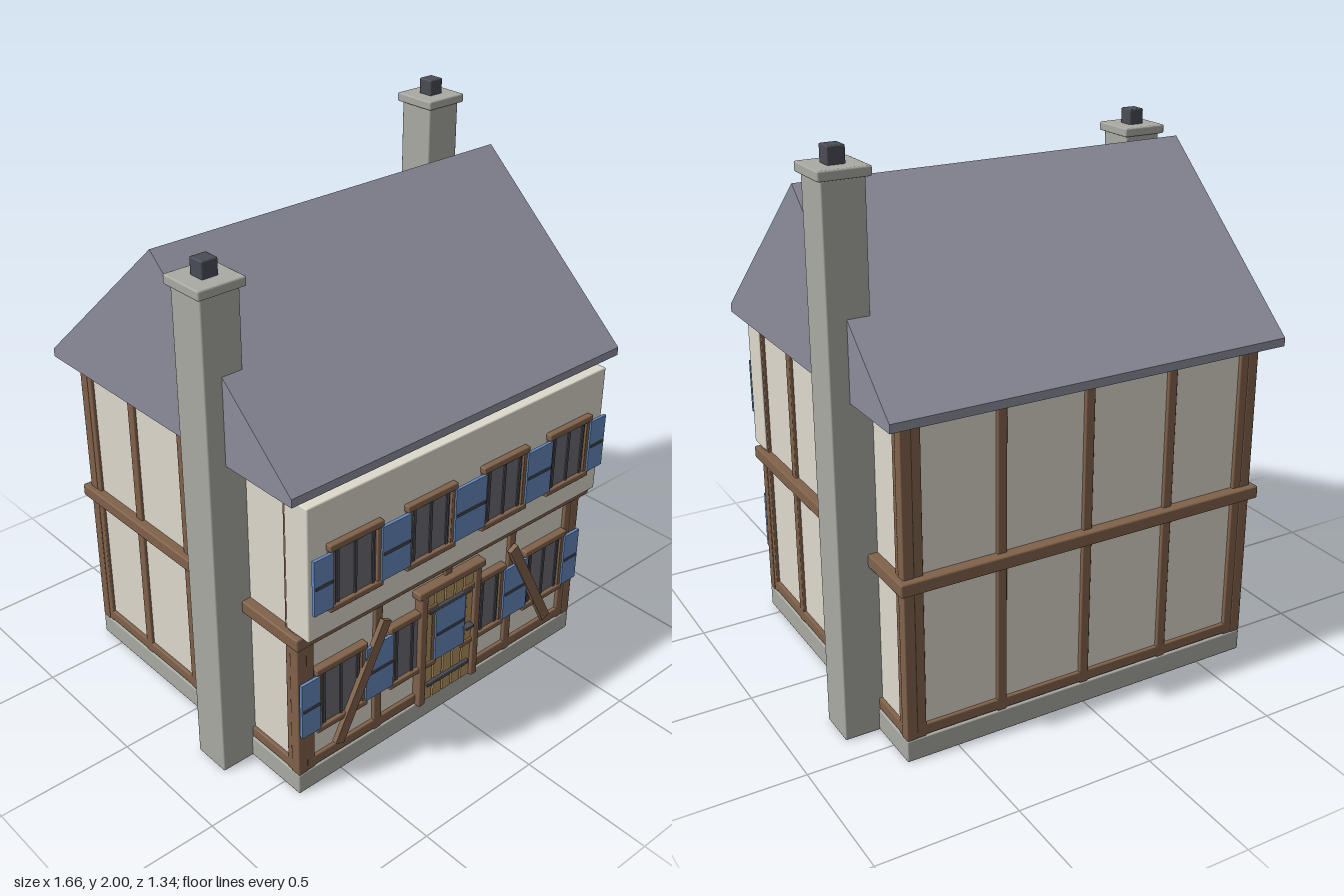
import * as THREE from 'three';
import { RoundedBoxGeometry } from 'three/addons/geometries/RoundedBoxGeometry.js';

const mat = (color) => new THREE.MeshStandardMaterial({ color });
const M = {
  plaster: mat(0xded9cc), timber: mat(0x80624a), stone: mat(0xa9aaa3), roof: mat(0x8c8d9b),
  glass: mat(0x6c6c74), shutter: mat(0x6488bd), plank: mat(0xb0905f), iron: mat(0x4a4c55),
};

// Box given by its limits on each axis; bevel > 0 softens the edges
function box(parent, name, material, [x0, x1], [y0, y1], [z0, z1], bevel = 0) {
  const s = [x1 - x0, y1 - y0, z1 - z0];
  const geo = bevel ? new RoundedBoxGeometry(...s, 1, bevel) : new THREE.BoxGeometry(...s);
  const mesh = new THREE.Mesh(geo, material);
  mesh.name = name;
  mesh.position.set((x0 + x1) / 2, (y0 + y1) / 2, (z0 + z1) / 2);
  parent.add(mesh);
  return mesh;
}
const around = (c, w) => [c - w / 2, c + w / 2];

function group(parent, name) {
  const g = new THREE.Group();
  g.name = name;
  parent.add(g);
  return g;
}

// Shuttered window; z is the wall face behind it
function addWindow(parent, x, y0, y1, z) {
  const g = group(parent, 'window');
  box(g, 'windowPane', M.glass, around(x, 0.19), [y0, y1], [z - 0.01, z + 0.008]);
  for (const s of [-1, 1]) {
    box(g, 'windowJamb', M.timber, around(x + s * 0.098, 0.02), [y0, y1], [z - 0.01, z + 0.018], 0.003);
    box(g, 'shutter', M.shutter, around(x + s * 0.142, 0.08), [y0, y1], [z + 0.013, z + 0.025]);
    box(g, 'shutterBar', M.iron, around(x + s * 0.142, 0.07), around((y0 + y1) / 2, 0.01), [z + 0.02, z + 0.029]);
  }
  for (const dx of [-0.075, 0, 0.075])
    box(g, 'mullion', M.iron, around(x + dx, 0.01), [y0, y1], [z, z + 0.013]);
  box(g, 'windowLintel', M.timber, around(x, 0.225), [y1, y1 + 0.025], [z - 0.01, z + 0.022], 0.004);
  box(g, 'windowSill', M.timber, around(x, 0.225), [y0 - 0.022, y0], [z - 0.01, z + 0.022], 0.004);
}

function addChimney(parent, x, z, top) {
  const g = group(parent, 'chimney');
  box(g, 'chimneyShaft', M.stone, around(x, 0.145), [0, top], around(z, 0.145), 0.005);
  box(g, 'chimneyCap', M.stone, around(x, 0.175), [top, top + 0.033], around(z, 0.175), 0.006);
  box(g, 'chimneyPot', M.iron, around(x, 0.06), [top + 0.03, top + 0.09], around(z, 0.06), 0.005);
}

export function createModel() {
  const house = new THREE.Group();
  house.name = 'house';
  const zc = -0.015;

  // Plinth, walls and jettied upper front
  box(house, 'plinth', M.stone, [-0.69, 0.69], [0, 0.08], [-0.61, 0.58], 0.005);
  box(house, 'walls', M.plaster, [-0.675, 0.675], [0.07, 1.22], [-0.595, 0.565]);
  box(house, 'upperFront', M.plaster, [-0.692, 0.692], [0.68, 1.18], [0.53, 0.64], 0.005);

  // Timber frame
  const frame = group(house, 'timberFrame');
  for (const s of [-1, 1]) {
    const faceZ = zc + s * 0.578, faceX = s * 0.672;
    for (const x of [-0.635, -0.33, 0, 0.33, 0.635])
      box(frame, 'post', M.timber, around(x, 0.035), [0.08, 1.215], around(faceZ, 0.03), 0.004);
    for (const z of [0.535, 0.272, zc, -0.302, -0.565])
      box(frame, 'post', M.timber, around(faceX, 0.03), [0.08, 1.215], around(z, 0.035), 0.004);
    for (const z of [0.56, -0.59])
      box(frame, 'cornerPost', M.timber, around(s * 0.67, 0.04), [0.08, 1.215], around(z, 0.04), 0.004);
    for (const [y0, y1] of [[0.085, 0.125], [1.19, 1.22]]) {
      box(frame, 'rail', M.timber, [-0.685, 0.685], [y0, y1], around(faceZ, 0.03), 0.004);
      box(frame, 'rail', M.timber, around(faceX, 0.03), [y0, y1], [-0.605, 0.575], 0.004);
    }
    box(frame, 'floorBeam', M.timber, [-0.71, 0.71], [0.63, 0.677], around(zc + s * 0.595, 0.05), 0.006);
    box(frame, 'floorBeam', M.timber, around(s * 0.685, 0.05), [0.63, 0.677], [-0.628, 0.603], 0.006);
    // Diagonal brace beside the door
    const brace = box(frame, 'brace', M.timber, around(s * 0.42, 0.04), around(0.35, 0.465), [0.583, 0.602]);
    brace.rotation.z = s * 0.48;
  }

  // Solid gabled roof
  const gable = new THREE.Shape([[-0.655, 1.21], [0.655, 1.21], [0.655, 1.24], [0, 1.82], [-0.655, 1.24]]
    .map(([x, y]) => new THREE.Vector2(x, y)));
  const roof = new THREE.Mesh(new THREE.ExtrudeGeometry(gable, { depth: 1.5, bevelEnabled: false }), M.roof);
  roof.name = 'roof';
  roof.rotation.y = Math.PI / 2;
  roof.position.set(-0.75, 0, zc);
  house.add(roof);

  addChimney(house, -0.743, 0.253, 1.79);
  addChimney(house, 0.743, -0.325, 1.91);

  // Two rows of windows
  for (const x of [-0.505, -0.175, 0.175, 0.505]) {
    addWindow(house, x, 0.795, 1.0, 0.64);
    addWindow(house, x, 0.255, 0.475, 0.572);
  }

  // Plank door with frame and ironwork
  const door = group(house, 'door');
  box(door, 'doorBack', M.timber, [-0.12, 0.12], [0.08, 0.56], [0.56, 0.576]);
  for (let i = -2; i <= 2; i++)
    box(door, 'doorPlank', M.plank, around(i * 0.048, 0.04), [0.085, 0.555], [0.57, 0.588]);
  for (const s of [-1, 1])
    box(door, 'doorJamb', M.timber, around(s * 0.133, 0.03), [0.08, 0.56], [0.56, 0.6], 0.004);
  box(door, 'doorLintel', M.timber, [-0.163, 0.163], [0.556, 0.585], [0.56, 0.604], 0.005);
  for (const y of [0.155, 0.478])
    box(door, 'doorStrap', M.iron, around(0, 0.21), around(y, 0.018), [0.58, 0.598], 0.003);
  box(door, 'doorHandle', M.iron, around(0.085, 0.04), around(0.327, 0.01), [0.585, 0.615]);

  return house;
}
